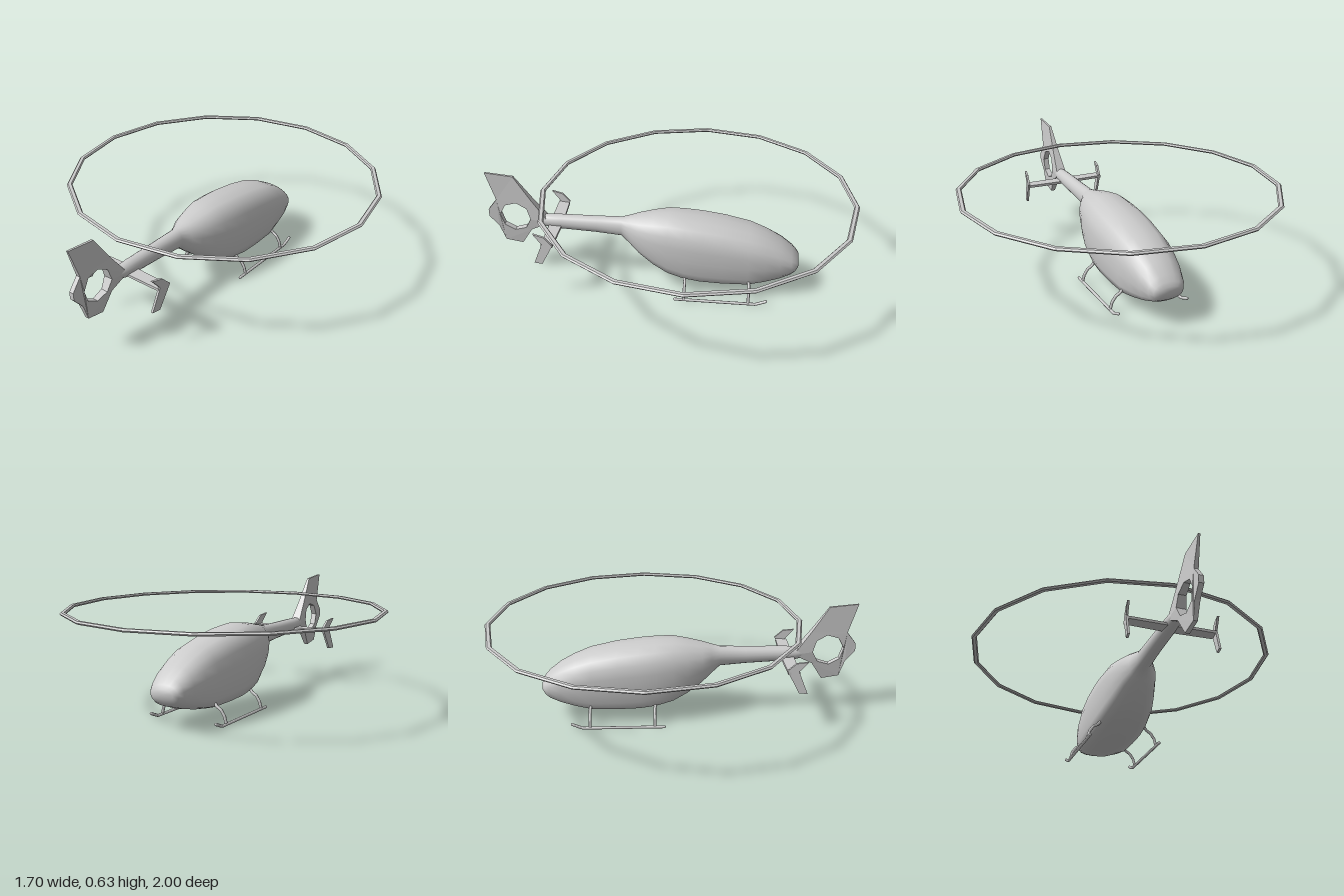
import * as THREE from 'three';

const material = (flat) => new THREE.MeshStandardMaterial({ color: 0xcccccc, flatShading: flat, side: THREE.DoubleSide });
const smooth = material(false), flat = material(true);

function add(group, name, geometry, mat) {
  const mesh = new THREE.Mesh(geometry, mat);
  mesh.name = name;
  group.add(mesh);
  return mesh;
}

// Half cross-sections, bottom to top: [fraction of half width, fraction of height]
const BOXY = [[0, 0], [0.55, 0.01], [0.85, 0.05], [0.97, 0.18], [1, 0.4], [1, 0.6], [0.93, 0.77], [0.72, 0.9], [0.45, 0.985], [0, 1]];
const ROUND = BOXY.map((_, i) => {
  const a = (i / (BOXY.length - 1)) * Math.PI;
  return [Math.sin(a), (1 - Math.cos(a)) / 2];
});

// Smooth skin through sections [z, bottom, top, half width, boxiness]
function loft(sections) {
  const positions = [], index = [];
  const half = BOXY.length, n = 2 * half - 2;
  for (const [z, bottom, top, width, boxy] of sections) {
    for (let j = 0; j < n; j++) {
      const k = j < half ? j : n - j, side = j < half ? 1 : -1;
      const u = THREE.MathUtils.lerp(ROUND[k][0], BOXY[k][0], boxy);
      const v = THREE.MathUtils.lerp(ROUND[k][1], BOXY[k][1], boxy);
      positions.push(side * u * width, bottom + v * (top - bottom), z);
    }
  }
  const last = sections.length - 1;
  for (let i = 0; i < last; i++) {
    for (let j = 0; j < n; j++) {
      const a = i * n + j, b = i * n + ((j + 1) % n);
      index.push(a, b, b + n, a, b + n, a + n);
    }
  }
  // End caps
  for (const i of [0, last]) {
    const [z, bottom, top] = sections[i], c = positions.length / 3;
    positions.push(0, (bottom + top) / 2, z);
    for (let j = 0; j < n; j++) {
      const a = i * n + j, b = i * n + ((j + 1) % n);
      index.push(c, i ? a : b, i ? b : a);
    }
  }
  const g = new THREE.BufferGeometry();
  g.setAttribute('position', new THREE.Float32BufferAttribute(positions, 3));
  g.setIndex(index);
  g.computeVertexNormals();
  return g;
}

// Side-view outline [z, y] turned into a plate whose x is given by a rule (side, y, z)
function plate(outline, rule, hole) {
  const shape = new THREE.Shape(outline.map(([z, y]) => new THREE.Vector2(z, y)));
  if (hole) shape.holes.push(new THREE.Path(hole.map(([z, y]) => new THREE.Vector2(z, y))));
  const g = new THREE.ExtrudeGeometry(shape, { depth: 2, bevelEnabled: false });
  g.translate(0, 0, -1).rotateY(-Math.PI / 2);
  const p = g.attributes.position;
  for (let i = 0; i < p.count; i++) p.setX(i, rule(Math.sign(p.getX(i)), p.getY(i), p.getZ(i)));
  g.computeVertexNormals();
  return g;
}

function tube(points, radius, segments) {
  const path = new THREE.CurvePath();
  const v = points.map((p) => new THREE.Vector3(...p));
  for (let i = 1; i < v.length; i++) path.add(new THREE.LineCurve3(v[i - 1], v[i]));
  return new THREE.TubeGeometry(path, segments, radius, 8);
}

export function createModel() {
  const model = new THREE.Group();
  model.name = 'helicopter';

  // Cabin, nose at -z, narrowing into the tail boom
  add(model, 'fuselage', loft([
    [-0.71, 0.165, 0.215, 0.06, 0.3],
    [-0.695, 0.14, 0.235, 0.083, 0.35],
    [-0.67, 0.122, 0.262, 0.098, 0.45],
    [-0.61, 0.1, 0.308, 0.118, 0.6],
    [-0.53, 0.083, 0.35, 0.134, 0.8],
    [-0.44, 0.071, 0.384, 0.146, 1],
    [-0.3, 0.07, 0.415, 0.153, 1],
    [-0.18, 0.074, 0.432, 0.154, 1],
    [-0.09, 0.086, 0.44, 0.15, 1],
    [0, 0.108, 0.445, 0.141, 0.9],
    [0.08, 0.145, 0.434, 0.124, 0.7],
    [0.16, 0.2, 0.418, 0.1, 0.5],
    [0.21, 0.242, 0.406, 0.07, 0.3],
    [0.26, 0.285, 0.395, 0.043, 0.1],
    [0.4, 0.297, 0.392, 0.041, 0],
    [0.6, 0.308, 0.39, 0.039, 0],
    [0.67, 0.315, 0.388, 0.036, 0],
    [0.75, 0.335, 0.375, 0.018, 0],
  ]), smooth);

  // Rotor disc rim
  const rim = [[0.82, 0.538], [0.826, 0.53], [0.843, 0.53], [0.85, 0.538], [0.843, 0.546], [0.826, 0.546], [0.82, 0.538]];
  const rotor = add(model, 'rotorRing', new THREE.LatheGeometry(rim.map(([r, y]) => new THREE.Vector2(r, y)), 16), flat);
  rotor.position.z = -0.15;

  // Tail fin with the tail rotor opening, thickest at boom height
  const finOutline = [[1, 0.63], [0.845, 0.615], [0.755, 0.48], [0.66, 0.35], [0.765, 0.295], [0.825, 0.2],
    [0.92, 0.215], [0.95, 0.305], [1, 0.365], [1, 0.405], [0.95, 0.47]];
  const opening = Array.from({ length: 8 }, (_, i) => {
    const a = 0.1 - (i * Math.PI) / 4;
    return [0.85 + 0.086 * Math.cos(a), 0.372 + 0.086 * Math.sin(a)];
  });
  add(model, 'tailFin', plate(finOutline, (s, y, z) =>
    s * (0.005 + 0.018 * Math.max(0, 1 - Math.abs(y - 0.37) / 0.27) * (1.5 - (z - 0.66) * 3)), opening), flat);

  // Horizontal stabiliser, slightly tapered to the tips
  const stabiliser = new THREE.BoxGeometry(0.46, 0.014, 0.07, 2, 1, 1);
  const sp = stabiliser.attributes.position;
  for (let i = 0; i < sp.count; i++) {
    const tip = Math.abs(sp.getX(i)) / 0.23;
    if (sp.getZ(i) < 0) sp.setZ(i, -0.035 + 0.008 * tip);
  }
  add(model, 'stabiliser', stabiliser, flat).position.set(0, 0.332, 0.627);

  // Swept end plates, both toed the same way
  const endOutline = [[0.7, 0.4], [0.64, 0.39], [0.595, 0.345], [0.66, 0.22], [0.705, 0.22], [0.675, 0.295], [0.655, 0.345]];
  for (const side of [1, -1]) {
    add(model, side > 0 ? 'leftEndPlate' : 'rightEndPlate',
      plate(endOutline, (s, y, z) => side * 0.23 - (z - 0.65) * 0.17 + s * 0.006), flat);
  }

  // Landing skids with two bent struts each
  for (const side of [1, -1]) {
    const skid = new THREE.Group();
    skid.name = side > 0 ? 'leftSkid' : 'rightSkid';
    const x = side * 0.195;
    add(skid, 'runner', tube([[x, 0.009, -0.05], [x, 0.009, -0.49], [x, 0.032, -0.545]], 0.008, 40), smooth);
    for (const z of [-0.1, -0.45]) {
      add(skid, 'strut', tube([[side * 0.11, 0.125, z + 0.01], [side * 0.14, 0.093, z],
        [side * 0.165, 0.078, z], [side * 0.185, 0.048, z], [x, 0.01, z]], 0.008, 24), smooth);
    }
    // Closed runner ends
    for (const [y, z] of [[0.009, -0.05], [0.032, -0.545]]) {
      add(skid, 'runnerEnd', new THREE.SphereGeometry(0.008, 8, 6), smooth).position.set(x, y, z);
    }
    model.add(skid);
  }
  return model;
}
